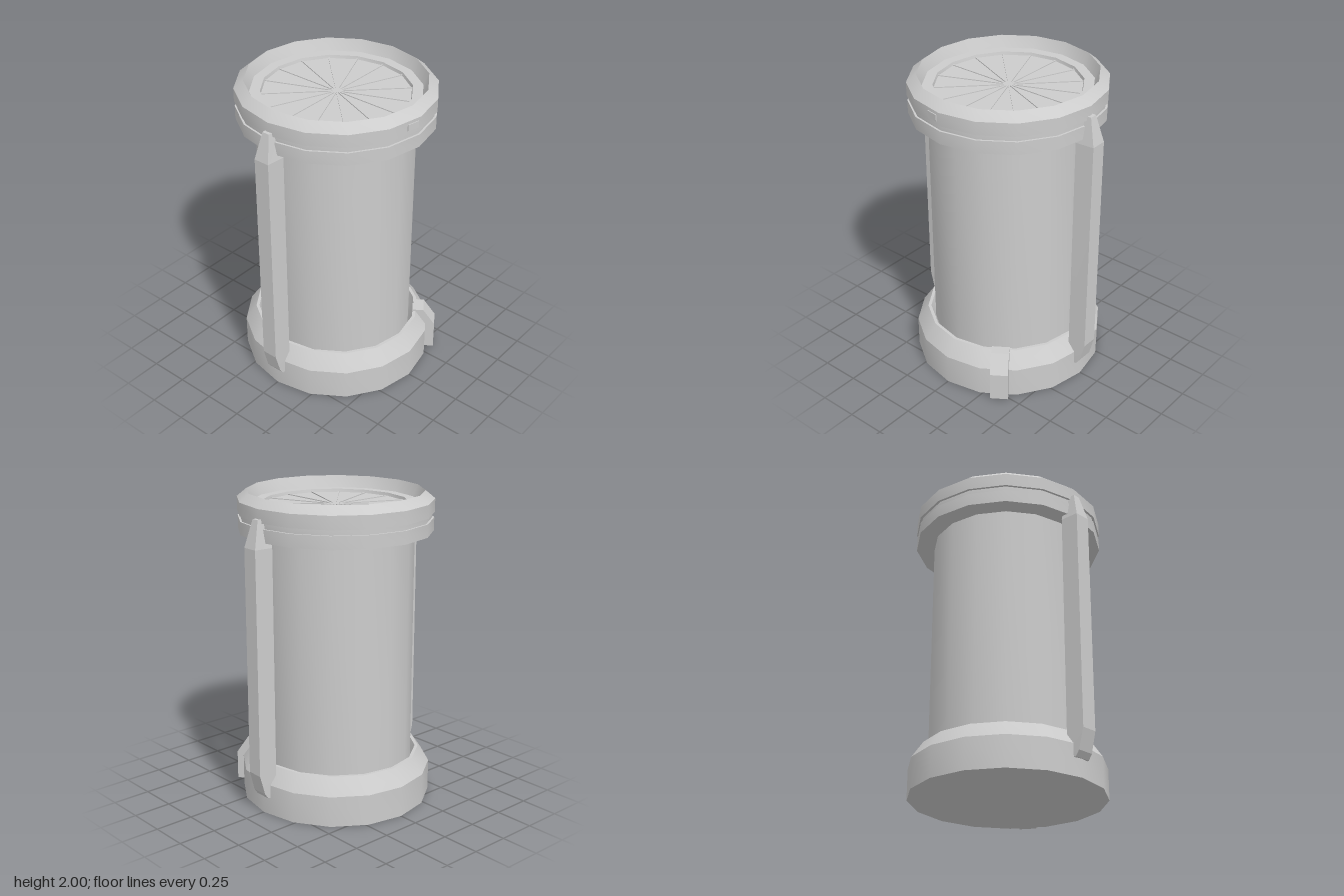
import * as THREE from 'three';
import { toCreasedNormals } from 'three/addons/utils/BufferGeometryUtils.js';

const SIDES = 16;
const SX = 0.98; // the round parts are slightly narrower across x

export function createModel() {
  const group = new THREE.Group();
  const grey = new THREE.MeshStandardMaterial({ color: 0xcccccc });
  grey.name = 'light grey';

  const add = (name, geometry, parent = group) => {
    const mesh = new THREE.Mesh(geometry, grey);
    mesh.name = name;
    parent.add(mesh);
    return mesh;
  };

  // Round part from a [radius, y] profile, smooth around and sharp at its rims
  const turned = (name, profile) => {
    const g = new THREE.LatheGeometry(profile.map(p => new THREE.Vector2(...p)), SIDES);
    g.scale(SX, 1, 1);
    return add(name, toCreasedNormals(g, 0.5));
  };

  // Foot with a bevelled shoulder and a narrow gutter round the body
  turned('base', [[0, 0], [0.623, 0], [0.623, 0.2], [0.55, 0.305], [0.53, 0.305], [0.5, 0.22]]);
  turned('body', [[0.5, 0.2], [0.5, 1.77]]);
  // Grooved collar with a recessed lid
  turned('cap', [
    [0.48, 1.75], [0.62, 1.75], [0.62, 1.832], [0.607, 1.832], [0.607, 1.866], [0.623, 1.866],
    [0.623, 1.95], [0.562, 2], [0.53, 1.925], [0.465, 1.925], [0.46, 1.905], [0, 1.905],
  ]);

  // Spokes across the lid
  const spokes = new THREE.Group();
  spokes.name = 'lidSpokes';
  spokes.scale.x = SX;
  group.add(spokes);
  for (let i = 0; i < SIDES / 2; i++) {
    const spoke = add('spoke', new THREE.BoxGeometry(0.92, 0.008, 0.01), spokes);
    spoke.position.y = 1.907;
    spoke.rotation.y = (i * 2 * Math.PI) / SIDES;
  }

  // Side rail lofted through sections: [y, inner x, outer x, inner half width, outer half width]
  const sections = [
    [0.115, 0.555, 0.615, 0.06, 0.055],
    [0.15, 0.555, 0.64, 0.06, 0.055],
    [0.28, 0.555, 0.675, 0.062, 0.052],
    [1.72, 0.555, 0.675, 0.062, 0.052],
    [1.89, 0.555, 0.63, 0.028, 0.024],
  ];
  const railGeometry = () => {
    const pos = [], idx = [];
    for (const [y, xi, xo, wi, wo] of sections) {
      pos.push(xi, y, wi, xo, y, wo, xo, y, -wo, xi, y, -wi);
    }
    for (let s = 0; s < sections.length - 1; s++) {
      for (let k = 0; k < 4; k++) {
        const a = s * 4 + k, b = s * 4 + (k + 1) % 4;
        idx.push(a, b, b + 4, a, b + 4, a + 4);
      }
    }
    const t = (sections.length - 1) * 4;
    idx.push(0, 2, 1, 0, 3, 2, t, t + 1, t + 2, t, t + 2, t + 3);
    const g = new THREE.BufferGeometry();
    g.setAttribute('position', new THREE.Float32BufferAttribute(pos, 3));
    g.setIndex(idx);
    return toCreasedNormals(g, 0.1);
  };
  add('leftRail', railGeometry());
  add('rightRail', railGeometry()).rotation.y = Math.PI;

  // Latch on the foot, extruded from its side outline
  const outline = [[0.5, 0.01], [0.668, 0.01], [0.668, 0.2], [0.59, 0.315], [0.52, 0.315]];
  const latch = new THREE.ExtrudeGeometry(
    new THREE.Shape(outline.map(p => new THREE.Vector2(...p))),
    { depth: 0.115, bevelEnabled: false },
  );
  latch.translate(0, 0, -0.0575);
  add('baseLatch', latch).rotation.y = -Math.PI / 2 + 0.597;

  // Small plate on the collar
  const plate = add('capPlate', new THREE.BoxGeometry(0.082, 0.042, 0.009));
  plate.position.set(-0.06, 1.909, 0.612);
  plate.rotation.y = -0.2;

  return group;
}
